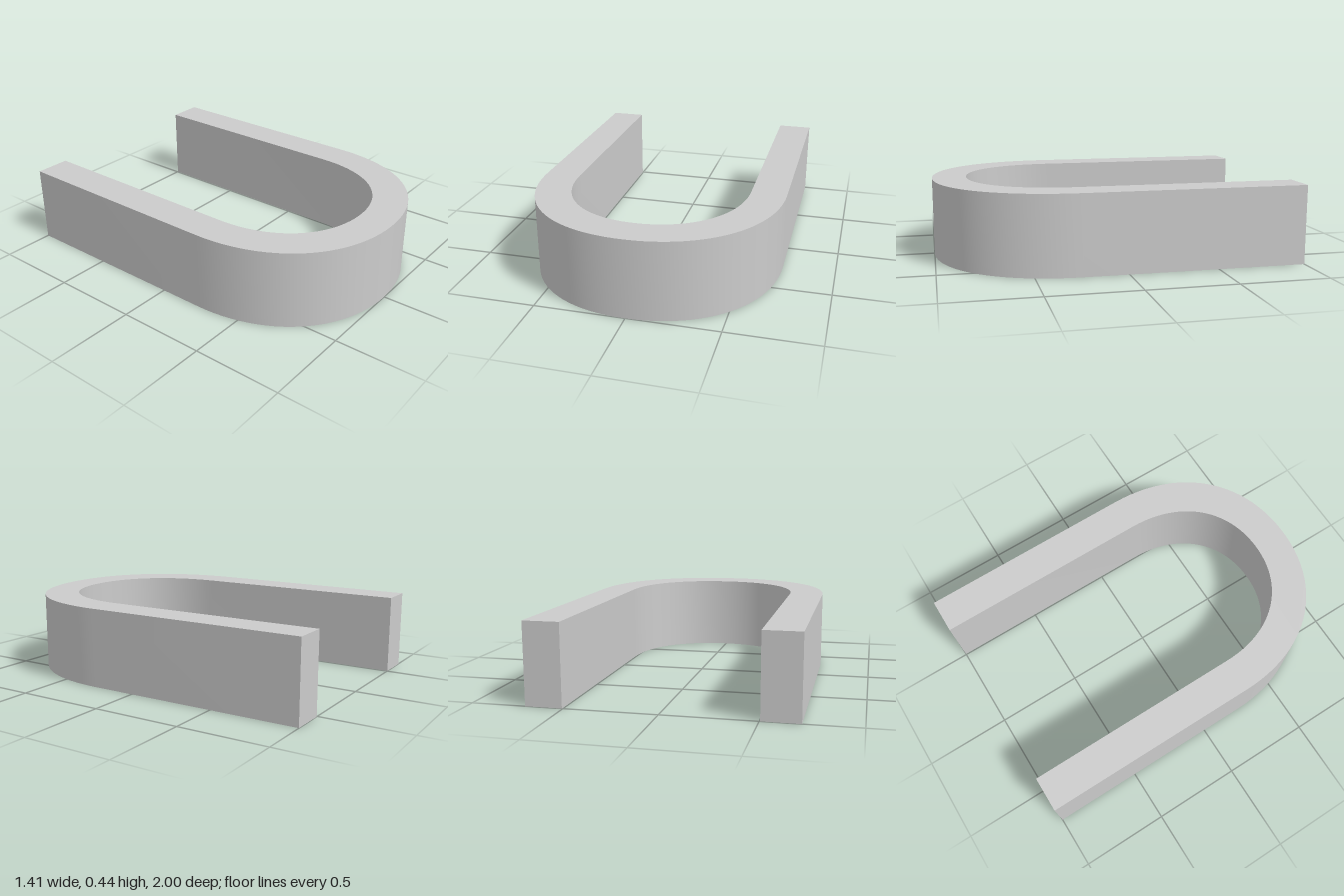
import * as THREE from 'three';
import { toCreasedNormals } from 'three/addons/utils/BufferGeometryUtils.js';

const HEIGHT = 0.445;
const BEND_START = 0.25; // z where the straight arms turn into the bend
const BACK = -1;
const ROUNDNESS = 0.6; // handle length of the bend curves

// Traces half of a bend between an arm at x = side and the crown at z = crown.
function bend(shape, side, crown, towardCrown) {
  const armHandle = [side, BEND_START + (crown - BEND_START) * ROUNDNESS];
  const crownHandle = [side * ROUNDNESS, crown];
  if (towardCrown) shape.bezierCurveTo(...armHandle, ...crownHandle, 0, crown);
  else shape.bezierCurveTo(...crownHandle, ...armHandle, side, BEND_START);
}

export function createModel() {
  const outer = { x: 0.705, crown: 1 };
  const inner = { x: 0.505, crown: 0.805 };

  // Plan outline of the U, drawn with shape y standing for z
  const plan = new THREE.Shape();
  plan.moveTo(inner.x, BACK);
  plan.lineTo(outer.x, BACK);
  plan.lineTo(outer.x, BEND_START);
  bend(plan, outer.x, outer.crown, true);
  bend(plan, -outer.x, outer.crown, false);
  plan.lineTo(-outer.x, BACK);
  plan.lineTo(-inner.x, BACK);
  plan.lineTo(-inner.x, BEND_START);
  bend(plan, -inner.x, inner.crown, true);
  bend(plan, inner.x, inner.crown, false);
  plan.closePath();

  // Extrude the plan and lay it flat on the ground
  let geometry = new THREE.ExtrudeGeometry(plan, {
    depth: HEIGHT,
    bevelEnabled: false,
    curveSegments: 24,
  });
  geometry.rotateX(Math.PI / 2);
  geometry.translate(0, HEIGHT, 0);
  geometry = toCreasedNormals(geometry, 0.5);

  const band = new THREE.Mesh(geometry, new THREE.MeshStandardMaterial({ color: 0xcccccc }));
  band.name = 'uShapedBand';

  const model = new THREE.Group();
  model.name = 'uShapedBlock';
  model.add(band);
  return model;
}
